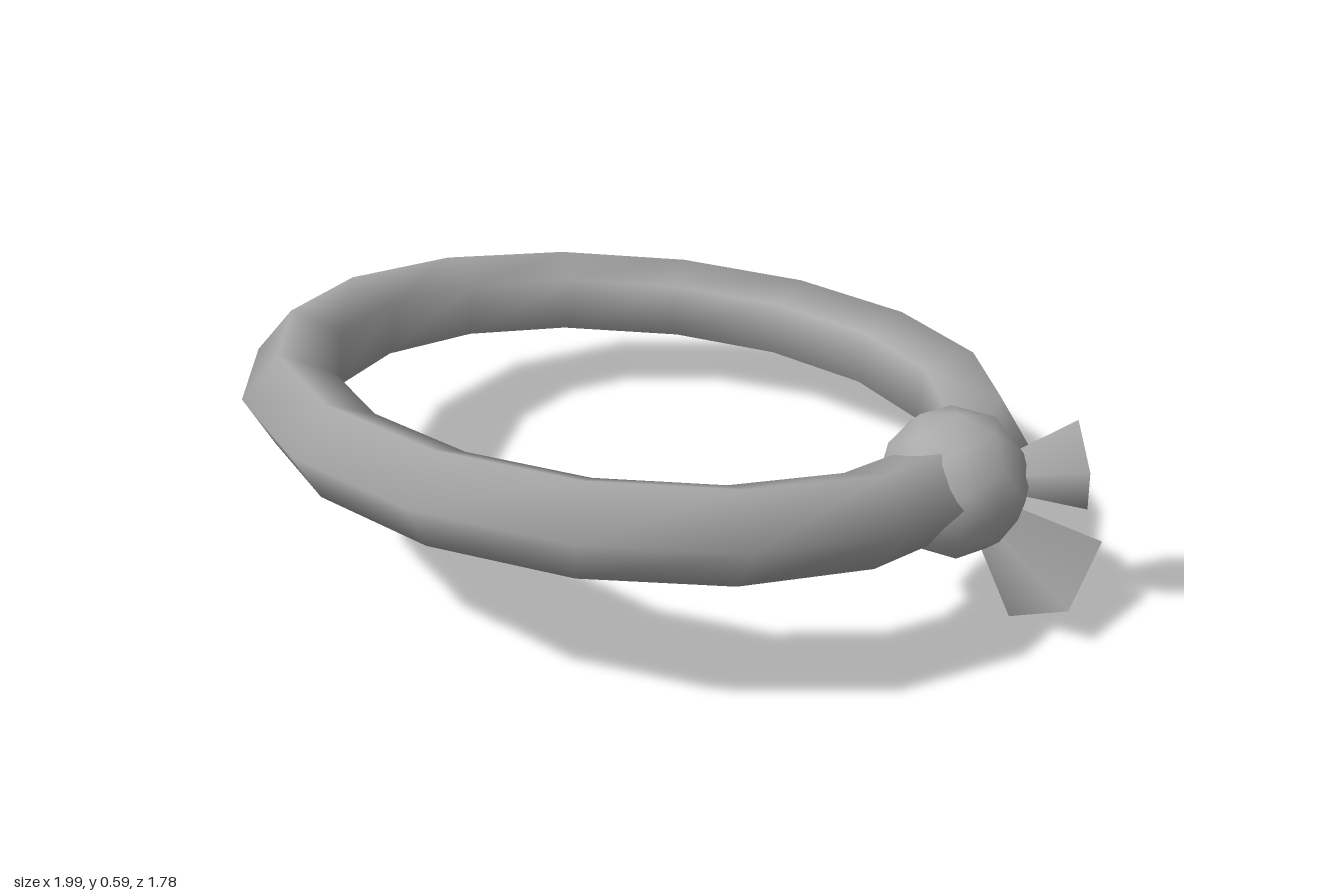
import * as THREE from 'three';

export function createModel() {
  const group = new THREE.Group();
  const grey = new THREE.MeshStandardMaterial({ color: 0xaaaaaa });
  grey.name = 'plain grey';

  const add = (name, geometry) => {
    const mesh = new THREE.Mesh(geometry, grey);
    mesh.name = name;
    group.add(mesh);
    return mesh;
  };

  const beadCentre = new THREE.Vector3(0.701, 0.37, 0);

  // Ring: five-sided tube, tipped so its front rises
  const ring = add('ring', new THREE.TorusGeometry(0.796, 0.11, 5, 16));
  ring.rotation.x = Math.PI / 2 - THREE.MathUtils.degToRad(10);
  ring.position.set(-0.095, 0.367, 0);

  // Bead threaded on the ring
  const bead = add('bead', new THREE.IcosahedronGeometry(0.167, 1));
  bead.position.copy(beadCentre);

  // Four-sided spike with its tip in the bead; corner is a half diagonal of its base
  const spike = (name, base, corner, otherRadius) => {
    const axis = beadCentre.clone().sub(base);
    const dir = axis.clone().normalize();
    const u = corner.clone().addScaledVector(dir, -corner.dot(dir));
    const v = u.clone().cross(axis).setLength(otherRadius);
    const geometry = new THREE.ConeGeometry(1, 1, 4).translate(0, 0.5, 0);
    geometry.applyMatrix4(new THREE.Matrix4().makeBasis(u, axis, v).setPosition(base));
    add(name, geometry);
  };
  spike('lowerSpike', new THREE.Vector3(0.908, 0.116, -0.126), new THREE.Vector3(0.078, 0.095, -0.055), 0.136);
  spike('upperSpike', new THREE.Vector3(0.937, 0.405, -0.15), new THREE.Vector3(-0.016, 0.096, -0.026), 0.085);

  return group;
}
